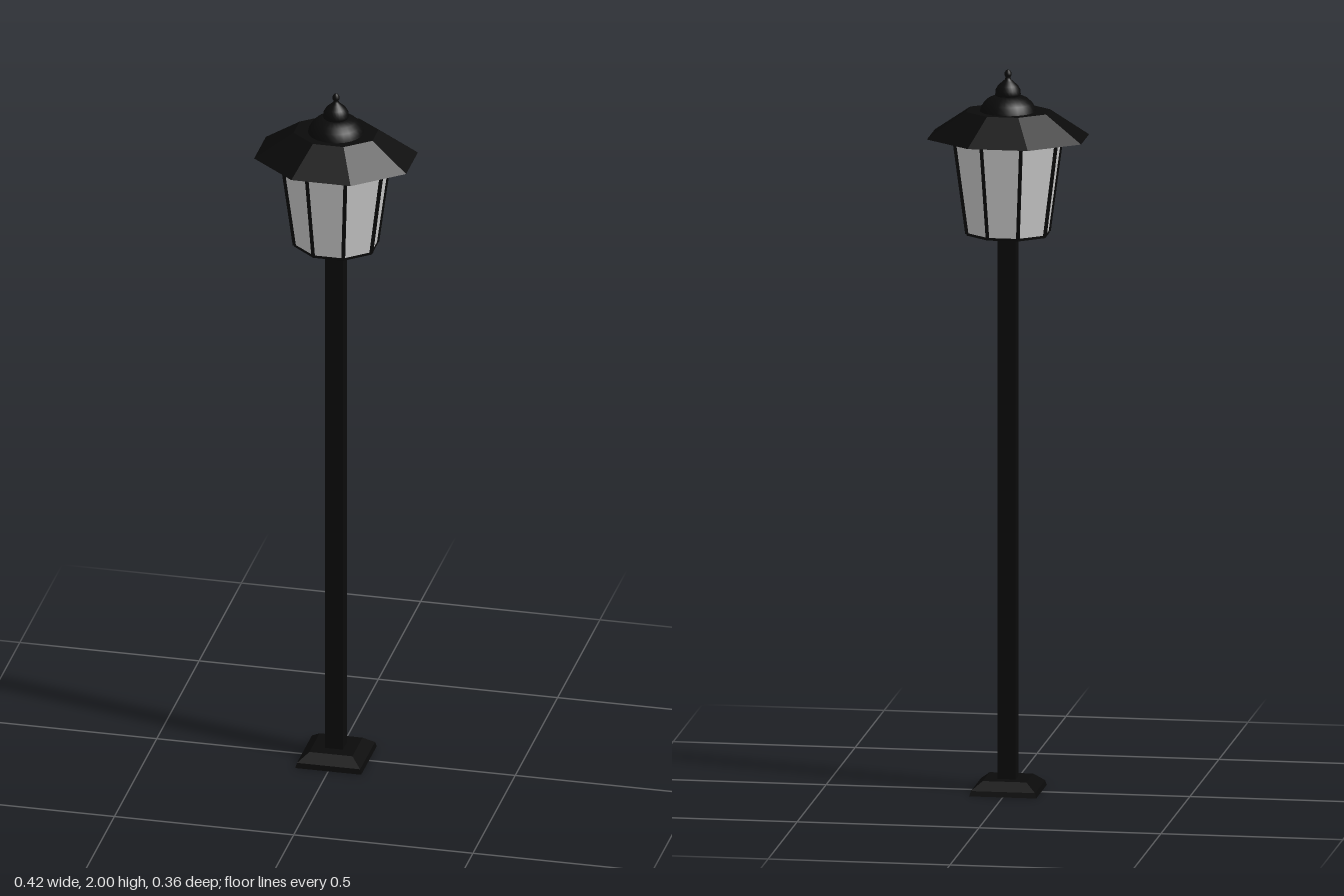
import * as THREE from 'three';

const black = new THREE.MeshStandardMaterial({ color: 0x0a0a0a, flatShading: true });
const smoothBlack = new THREE.MeshStandardMaterial({ color: 0x0a0a0a, side: THREE.DoubleSide });
const glass = new THREE.MeshStandardMaterial({ color: 0xcccccc, flatShading: true });
const CORNER = 0.39; // how far along each side the octagon's corner is cut

function add(group, name, geometry, material) {
  const mesh = new THREE.Mesh(geometry, material);
  mesh.name = name;
  group.add(mesh);
  return mesh;
}

// Tapered stretched octagon between two levels, given half widths in x and z
function octagon(bottom, top) {
  const g = new THREE.CylinderGeometry(1, 1, 1, 8, 1, false, Math.PI / 8);
  const p = g.attributes.position;
  const snap = (v, half) => {
    const a = Math.abs(v);
    return Math.sign(v) * half * (a > 0.8 ? 1 : a > 0.2 ? CORNER : 0);
  };
  for (let i = 0; i < p.count; i++) {
    const [hx, hz, y] = p.getY(i) > 0 ? top : bottom;
    p.setXYZ(i, snap(p.getX(i), hx), y, snap(p.getZ(i), hz));
  }
  g.computeVertexNormals();
  return g;
}

// Square block with a tapering half width
function squareBlock(halfBottom, halfTop, y0, y1) {
  const g = new THREE.CylinderGeometry(halfTop * Math.SQRT2, halfBottom * Math.SQRT2, y1 - y0, 4);
  return g.rotateY(Math.PI / 4).translate(0, (y0 + y1) / 2, 0);
}

export function createModel() {
  const model = new THREE.Group();
  model.name = 'lampPost';

  // Foot and post
  add(model, 'basePlate', squareBlock(0.092, 0.088, 0, 0.014), black);
  add(model, 'baseBevel', squareBlock(0.088, 0.06, 0.014, 0.037), black);
  add(model, 'post', squareBlock(0.025, 0.025, 0.03, 1.55), black);

  // Lantern: floor, glass and corner bars
  const lantern = new THREE.Group();
  lantern.name = 'lantern';
  model.add(lantern);
  const low = [0.107, 0.091, 1.549], high = [0.141, 0.119, 1.815];
  add(lantern, 'lanternFloor', octagon([0.108, 0.092, 1.543], [0.109, 0.093, 1.55]), black);
  add(lantern, 'glassPanes', octagon(low, high), glass);

  const up = new THREE.Vector3(0, 1, 0);
  for (const sx of [-1, 1]) for (const sz of [-1, 1]) {
    for (const [fx, fz] of [[1, CORNER], [CORNER, 1]]) {
      const a = new THREE.Vector3(sx * fx * low[0], low[2], sz * fz * low[1]);
      const b = new THREE.Vector3(sx * fx * high[0], high[2], sz * fz * high[1]);
      const dir = b.clone().sub(a);
      const bar = add(lantern, 'cornerBar', new THREE.BoxGeometry(0.009, dir.length(), 0.009), black);
      bar.position.copy(a).add(b).multiplyScalar(0.5);
      bar.quaternion.setFromUnitVectors(up, dir.normalize());
    }
  }

  // Roof
  add(model, 'roof', octagon([0.212, 0.178, 1.813], [0.11, 0.092, 1.886]), black);

  // Dome and finial
  const lathe = (pts) => new THREE.LatheGeometry(pts.map(([r, y]) => new THREE.Vector2(r, y)), 24);
  add(model, 'dome', lathe([
    [0.078, 1.88], [0.075, 1.892], [0.067, 1.907], [0.055, 1.919], [0.036, 1.928], [0, 1.932],
  ]), smoothBlack);
  add(model, 'finial', lathe([
    [0.03, 1.92], [0.035, 1.932], [0.034, 1.944], [0.027, 1.956], [0.015, 1.967], [0.008, 1.973],
    [0.007, 1.979], [0.01, 1.985], [0.009, 1.992], [0.005, 1.998], [0, 2],
  ]), smoothBlack);

  return model;
}
